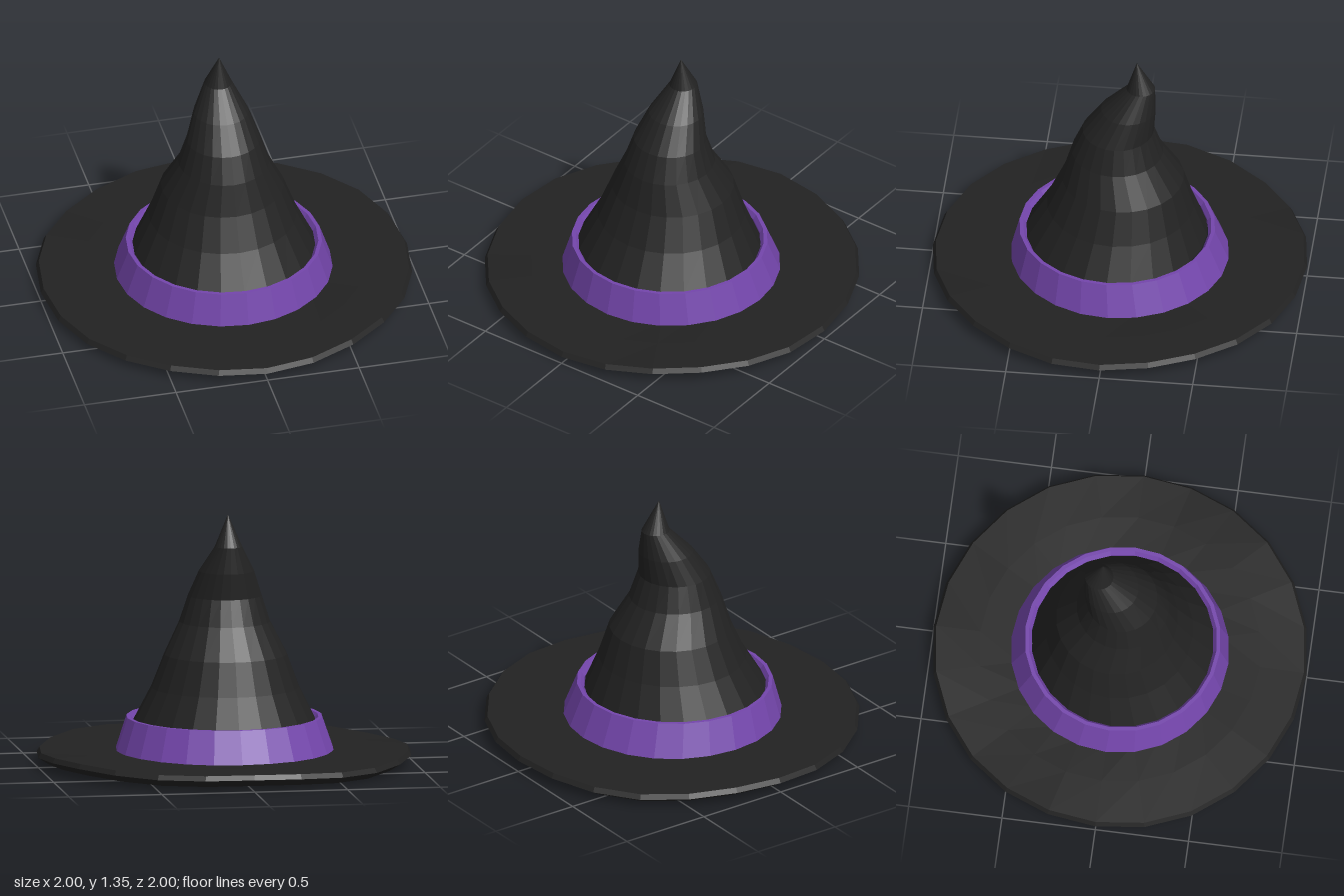
import * as THREE from 'three';

const SIDES = 24;
const cloth = new THREE.MeshStandardMaterial({ color: 0x222222, flatShading: true, side: THREE.DoubleSide });
const ribbon = new THREE.MeshStandardMaterial({ color: 0x7446ac, flatShading: true, side: THREE.DoubleSide });

// Joins elliptical rings { y, rx, rz, cx, cz } in order; lift(angle, radius) raises points
function loft(name, rings, material, lift = () => 0) {
  const positions = [], index = [];
  for (const { y, rx, rz = rx, cx = 0, cz = 0 } of rings) {
    for (let j = 0; j < SIDES; j++) {
      const a = (j / SIDES) * Math.PI * 2;
      positions.push(cx + rx * Math.sin(a), y + lift(a, rx), cz + rz * Math.cos(a));
    }
  }
  for (let i = 0; i < rings.length - 1; i++) {
    for (let j = 0; j < SIDES; j++) {
      const k = (j + 1) % SIDES;
      const a = i * SIDES + j, b = i * SIDES + k;
      index.push(a, b, b + SIDES, a, b + SIDES, a + SIDES);
    }
  }
  const geometry = new THREE.BufferGeometry();
  geometry.setAttribute('position', new THREE.Float32BufferAttribute(positions, 3));
  geometry.setIndex(index);
  geometry.computeVertexNormals();
  const mesh = new THREE.Mesh(geometry, material);
  mesh.name = name;
  return mesh;
}

export function createModel() {
  const hat = new THREE.Group();
  hat.name = 'pointedHat';

  // Wavy brim with a bevelled rim and an open middle
  const brimProfile = [
    [0.545, 0.045], [0.75, 0.035], [0.94, 0.022], [1, 0.06],
    [0.985, 0.086], [0.75, 0.088], [0.545, 0.085], [0.545, 0.045],
  ];
  const wave = (a, r) => {
    const t = Math.max(0, (r - 0.545) / 0.455);
    return t * (0.008 * Math.sin(a) - 0.004 * Math.cos(a) + 0.008 * Math.cos(5 * a + 2.6) + 0.004 * Math.sin(3 * a));
  };
  hat.add(loft('brim', brimProfile.map(([rx, y]) => ({ rx, y })), cloth, wave));

  // Band: sloped ring with a narrow top lip, open underneath
  const bandProfile = [
    [0.545, 0.05, 0], [0.583, 0.08, 0], [0.522, 0.26, 0.015],
    [0.502, 0.26, 0.015], [0.485, 0.235, 0.015], [0.545, 0.05, 0],
  ];
  hat.add(loft('band', bandProfile.map(([rx, y, cz]) => ({ rx, y, cz, cx: -0.004 })), ribbon));

  // Crown: hollow bent cone, rings given as height, half width, front z, back z
  const crownProfile = [
    [0.235, 0.487, 0.5, -0.465], [0.42, 0.395, 0.39, -0.395], [0.6, 0.327, 0.31, -0.34],
    [0.77, 0.242, 0.26, -0.23], [0.91, 0.197, 0.2, -0.18], [1.05, 0.147, 0.1, -0.19],
    [1.19, 0.073, -0.035, -0.187], [1.355, 0.002, -0.088, -0.092],
  ];
  hat.add(loft('crown', crownProfile.map(([y, rx, front, back]) => (
    { y, rx, rz: (front - back) / 2, cx: -0.006, cz: (front + back) / 2 }
  )), cloth));

  return hat;
}
